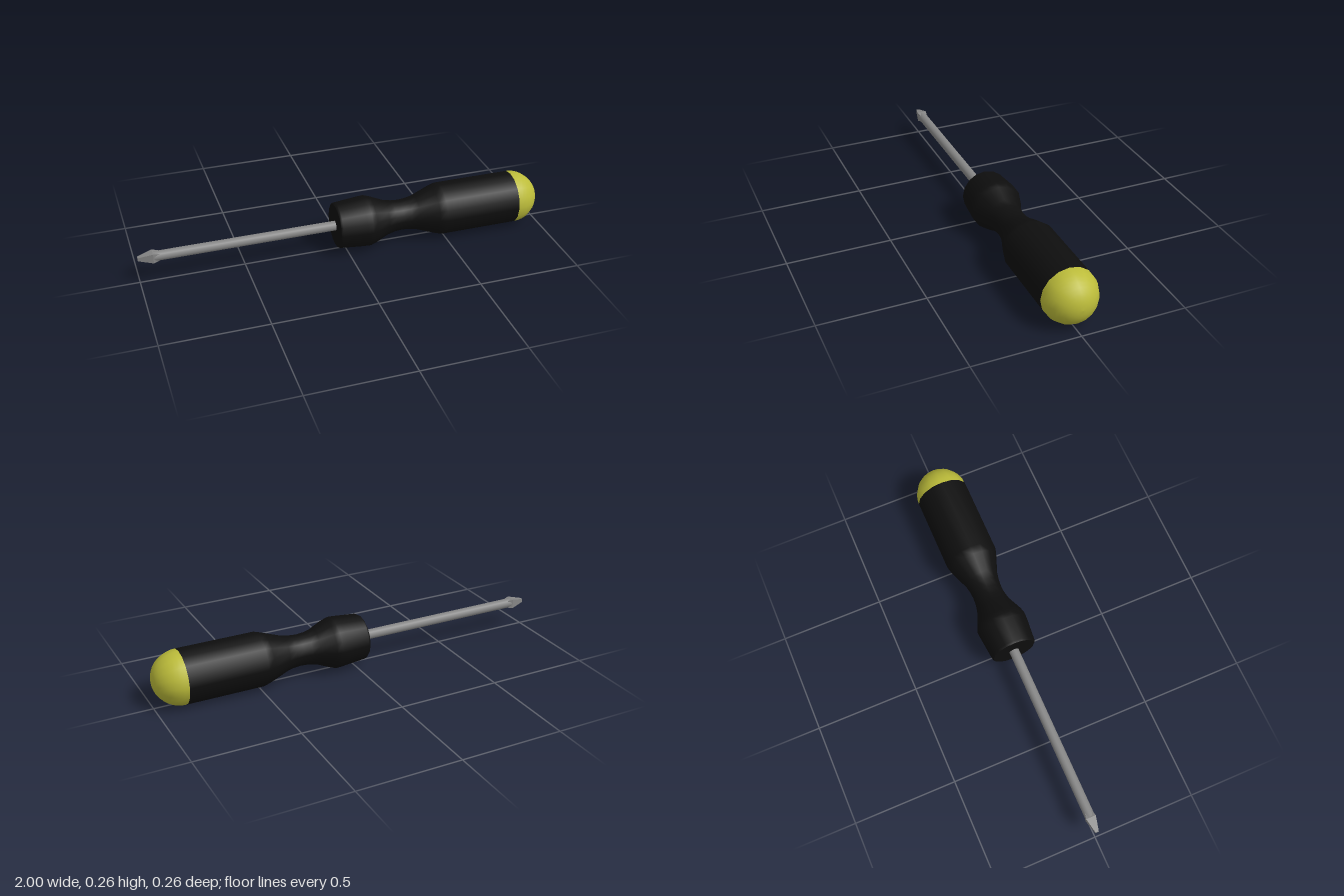
import * as THREE from 'three';

export function createModel() {
  const group = new THREE.Group();
  const black = new THREE.MeshStandardMaterial({ color: 0x0e0e0e, name: 'blackGrip' });
  const yellow = new THREE.MeshStandardMaterial({ color: 0xbcbc3a, name: 'yellowCap' });
  const steel = new THREE.MeshStandardMaterial({ color: 0x868686, name: 'steel' });
  const R = 0.13;

  // Turned part along x, from [x, radius] pairs with x increasing
  function turned(name, profile, material, sides = 16, phase = 0) {
    const points = profile.map(([x, r]) => new THREE.Vector2(r, x));
    const geometry = new THREE.LatheGeometry(points, sides, phase);
    geometry.rotateZ(-Math.PI / 2);
    geometry.translate(0, R, 0);
    const mesh = new THREE.Mesh(geometry, material);
    mesh.name = name;
    group.add(mesh);
  }

  // Grip with a flared collar and a narrow waist
  turned('gripFrontFace', [[-0.05, 0], [-0.05, 0.106]], black);
  turned('grip', [
    [-0.05, 0.106], [-0.04, 0.113], [0.08, 0.124], [0.105, 0.125], [0.13, 0.117],
    [0.2, 0.087], [0.24, 0.078], [0.28, 0.075], [0.32, 0.078], [0.36, 0.086],
    [0.45, 0.119], [0.485, R], [0.865, R],
  ], black);

  // Domed end cap
  const dome = [];
  for (let i = 0; i <= 10; i++) {
    const a = (i / 10) * Math.PI / 2;
    dome.push([0.865 + 0.135 * Math.sin(a), R * Math.cos(a)]);
  }
  turned('endCap', dome, yellow);

  // Round shaft, running into the grip
  turned('shaft', [[-0.925, 0.024], [-0.04, 0.024]], steel);

  // Square tapered tip, flat sides facing y and z
  const corner = Math.SQRT2;
  const tip = [[-1, 0], [-1, 0.008], [-0.93, 0.024], [-0.9, 0.017]];
  for (let i = 0; i < 3; i++) {
    const [a, b] = [tip[i], tip[i + 1]].map(([x, h]) => [x, h * corner]);
    const facets = steel;
    for (let side = 0; side < 4; side++) {
      const points = [a, b].map(([x, r]) => new THREE.Vector2(r, x));
      const geometry = new THREE.LatheGeometry(points, 1, Math.PI / 4 + side * Math.PI / 2, Math.PI / 2);
      geometry.rotateZ(-Math.PI / 2);
      geometry.translate(0, R, 0);
      geometry.computeVertexNormals();
      const mesh = new THREE.Mesh(geometry, facets);
      mesh.name = 'tipFacet';
      group.add(mesh);
    }
  }

  return group;
}
